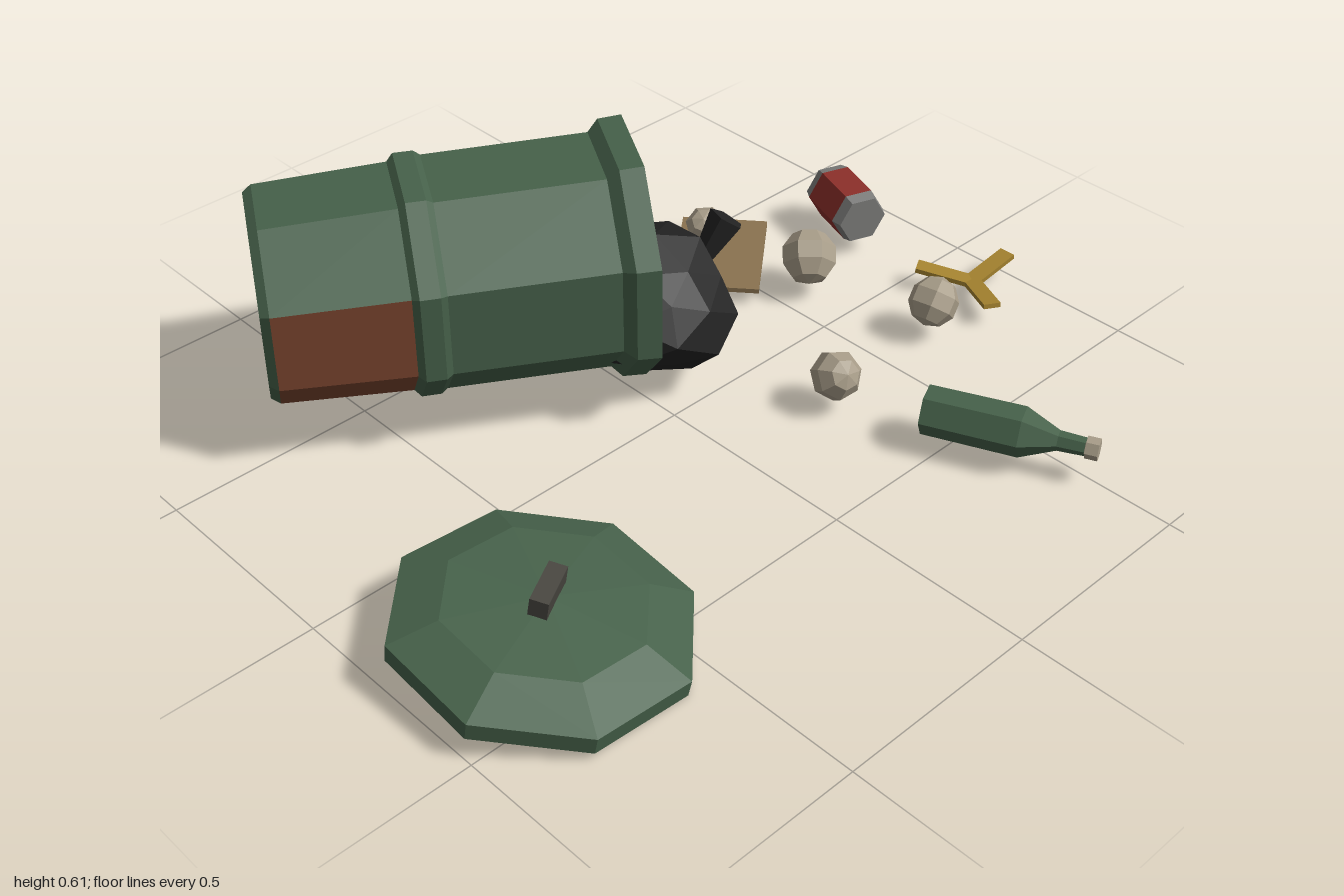
import * as THREE from 'three';

const mat = (name, color) => {
  const m = new THREE.MeshStandardMaterial({ color, flatShading: true });
  m.name = name;
  return m;
};

export function createModel() {
  const green = mat('green', 0x46614a), rust = mat('rust', 0x7a452f);
  const beige = mat('beige', 0xa89d89), black = mat('black', 0x222222);
  const dark = mat('dark grey', 0x47453f), card = mat('cardboard', 0x8a7350);
  const red = mat('red', 0x8c2f2a), grey = mat('grey', 0x7c7c7a);
  const yellow = mat('yellow', 0xa5832f);
  const model = new THREE.Group();

  const add = (name, geo, material, x = 0, y = 0, z = 0, parent = model) => {
    const mesh = new THREE.Mesh(geo, material);
    mesh.name = name;
    mesh.position.set(x, y, z);
    parent.add(mesh);
    return mesh;
  };

  // Faceted solid of revolution: profile of [apothem, height], flat sides on the axes.
  // pick(band, side) gives the index of the material of each facet.
  const turned = (profile, sides, pick) => {
    const k = 1 / Math.cos(Math.PI / sides);
    const pts = profile.map(([r, h]) => new THREE.Vector2(r * k, h));
    const geo = new THREE.LatheGeometry(pts, sides, sides === 8 ? Math.PI / 8 : 0).toNonIndexed();
    geo.computeVertexNormals();
    const bands = profile.length - 1;
    if (pick) {
      for (let s = 0; s < sides; s++) {
        for (let b = 0; b < bands; b++) geo.addGroup((s * bands + b) * 6, 6, pick(b, s));
      }
    }
    return geo;
  };

  // Lay a mesh on its side, its own y axis along (dx, dz), its own x axis up.
  const layDown = (mesh, dx, dz) => {
    const yAxis = new THREE.Vector3(dx, 0, dz).normalize();
    const xAxis = new THREE.Vector3(0, 1, 0);
    const zAxis = xAxis.clone().cross(yAxis);
    mesh.quaternion.setFromRotationMatrix(new THREE.Matrix4().makeBasis(xAxis, yAxis, zAxis));
    return mesh;
  };

  // Fallen bin: ribbed shell with two rusty and two faded facets, black inside
  const binProfile = [
    [0, 0], [0.214, 0], [0.228, 0.02], [0.24, 0.315], [0.256, 0.33], [0.256, 0.375],
    [0.246, 0.39], [0.25, 0.765], [0.275, 0.79], [0.278, 0.845], [0.24, 0.845],
    [0.21, 0.04], [0, 0.04],
  ];
  const binColour = (band, side) => {
    if (band >= 10) return 3;
    if (band === 2 && (side === 3 || side === 4)) return 1;
    if (band === 6 && (side === 7 || side === 0)) return 2;
    return 0;
  };
  layDown(add('bin', turned(binProfile, 8, binColour), [green, rust, beige, black],
    -0.66, 0.335, -0.63), 0.866, 0.5);

  // Rubbish bag spilling from the mouth, with a tied neck
  const bagGeo = new THREE.IcosahedronGeometry(1, 1);
  const p = bagGeo.attributes.position;
  const v = new THREE.Vector3();
  for (let i = 0; i < p.count; i++) {
    v.fromBufferAttribute(p, i);
    const bump = 1 + 0.1 * Math.sin(5 * v.x + 7 * v.y + 9 * v.z);
    v.multiplyScalar(bump);
    p.setXYZ(i, v.x * 0.19, Math.max(v.y * 0.165, -0.145), v.z * 0.195);
  }
  bagGeo.computeVertexNormals();
  const bag = add('rubbishBag', bagGeo, black, 0.095, 0.2, -0.165);
  bag.rotation.y = -0.5;
  const neck = add('bagNeck', new THREE.CylinderGeometry(0.045, 0.022, 0.12, 5), black, 0.275, 0.285, -0.155);
  neck.quaternion.setFromUnitVectors(new THREE.Vector3(0, 1, 0), new THREE.Vector3(0.55, 0.8, 0.15).normalize());

  // Lid lying slightly tilted on the ground
  const lid = new THREE.Group();
  lid.name = 'lid';
  lid.position.set(-0.705, 0.049, 0.36);
  lid.quaternion.setFromUnitVectors(new THREE.Vector3(0, 1, 0), new THREE.Vector3(0.085, 1, 0.114).normalize());
  model.add(lid);
  add('lidShell', turned([[0, 0], [0.293, 0], [0.295, 0.04], [0.2, 0.085], [0, 0.1]], 8), green, 0, 0, 0, lid);
  add('lidHandle', new THREE.BoxGeometry(0.115, 0.05, 0.04), dark, 0, 0.112, 0, lid).rotation.y = Math.PI / 6;

  // Bottle with a pale cap
  const bottle = [[0, 0], [0.049, 0], [0.05, 0.22], [0.02, 0.3], [0.018, 0.36], [0.022, 0.361], [0.022, 0.39], [0, 0.39]];
  layDown(add('bottle', turned(bottle, 6, (b) => (b >= 4 ? 1 : 0)), [green, beige], 0.337, 0.095, 0.45), 0.417, 0.909);

  // Drink can: red band between grey ends
  const tin = [[0, 0], [0.055, 0], [0.0625, 0.028], [0.0625, 0.152], [0.055, 0.18], [0, 0.18]];
  layDown(add('drinkCan', turned(tin, 6, (b) => (b === 2 ? 0 : 1)), [red, grey], 0.86, 0.108, -0.323), -0.33, 0.944);

  // Sheet of cardboard
  add('cardboard', new THREE.BoxGeometry(0.309, 0.012, 0.216), card, 0.4975, 0.047, -0.355).rotation.y = 0.705;

  // Crumpled paper balls
  [
    [0.505, 0.098, -0.415, 0.052], [0.58, 0.11, -0.13, 0.07],
    [0.28, 0.102, 0.235, 0.06], [0.66, 0.105, 0.2, 0.062],
  ].forEach(([x, y, z, r], i) => {
    add('paperBall', new THREE.SphereGeometry(r, 7, 5), beige, x, y, z).rotation.set(0.4 + i, 0.9 * i, 0.5 + 0.6 * i);
  });

  // Fruit peel: three strips rising gently from the middle
  const peel = new THREE.Group();
  peel.name = 'fruitPeel';
  peel.position.set(0.862, 0.044, 0.155);
  model.add(peel);
  for (let i = 0; i < 3; i++) {
    const arm = new THREE.Group();
    arm.rotation.y = (i * Math.PI * 2) / 3;
    peel.add(arm);
    add('peelStrip', new THREE.BoxGeometry(0.14, 0.012, 0.042), yellow, 0.068, 0.01, 0, arm).rotation.z = 0.14;
  }

  return model;
}
